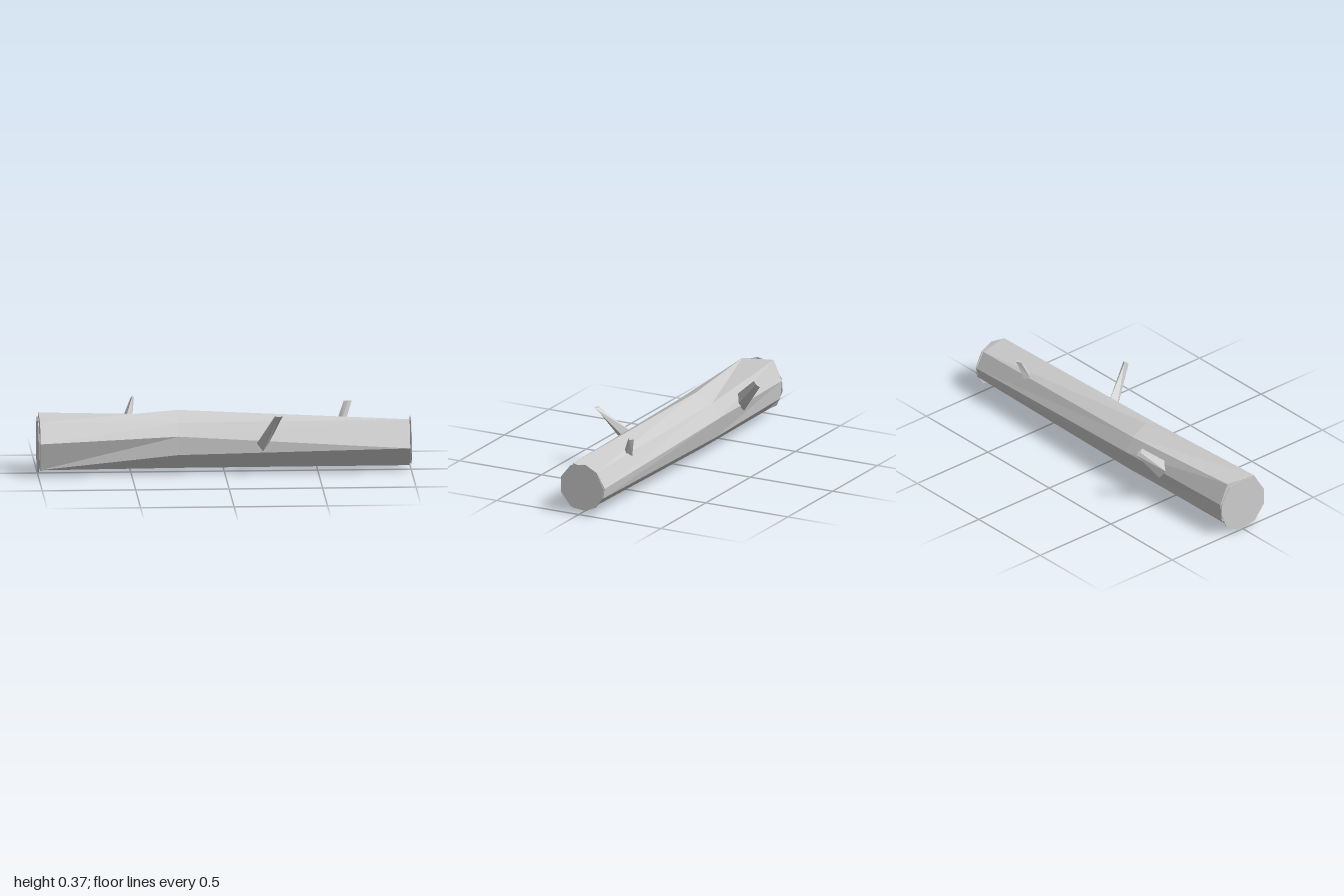
import * as THREE from 'three';

// Skin a row of rings (each a list of [x, y, z]) and close both ends
function loft(rings) {
  const pos = [];
  const tri = (a, b, c) => pos.push(...a, ...b, ...c);
  const n = rings[0].length;
  for (let k = 0; k + 1 < rings.length; k++) {
    const p = rings[k], q = rings[k + 1];
    for (let i = 0; i < n; i++) {
      const j = (i + 1) % n;
      tri(p[i], p[j], q[i]);
      tri(p[j], q[j], q[i]);
    }
  }
  const first = rings[0], last = rings[rings.length - 1];
  for (let i = 1; i + 1 < n; i++) {
    tri(first[0], first[i + 1], first[i]);
    tri(last[0], last[i], last[i + 1]);
  }
  const geo = new THREE.BufferGeometry();
  geo.setAttribute('position', new THREE.Float32BufferAttribute(pos, 3));
  geo.computeVertexNormals();
  return geo;
}

// Cross-section of the trunk at x, from [z, y] pairs
const section = (x, pts) => pts.map(([z, y]) => [x, y, z]);

// Small ring around a centre: half-width along x, half-depth along [y, z]
function ring(c, w, [vy, vz], sides) {
  return Array.from({ length: sides }, (_, i) => {
    const t = (i / sides) * Math.PI * 2 + Math.PI / 2;
    const u = Math.cos(t) * w, v = Math.sin(t);
    return [c[0] + u, c[1] + v * vy, c[2] + v * vz];
  });
}

export function createModel() {
  const group = new THREE.Group();
  const wood = new THREE.MeshStandardMaterial({ color: 0xcccccc });
  wood.name = 'paleGreyWood';
  wood.flatShading = true;
  wood.side = THREE.DoubleSide;

  const add = (name, geo) => {
    const mesh = new THREE.Mesh(geo, wood);
    mesh.name = name;
    group.add(mesh);
  };

  // Trunk: three uneven sections with a slight bend
  add('trunk', loft([
    section(-0.99, [[-0.1, 0.31], [0.09, 0.292], [0.09, 0.292], [0.153, 0.185], [0.107, 0.036],
      [0.08, 0.03], [-0.06, 0.022], [-0.14, 0.1], [-0.15, 0.2]]),
    section(-0.25, [[-0.13, 0.285], [-0.03, 0.33], [0.07, 0.278], [0.105, 0.21], [0.105, 0.11],
      [0.05, 0.03], [-0.06, 0.018], [-0.15, 0.095], [-0.177, 0.21]]),
    section(0.99, [[-0.105, 0.25], [0.04, 0.28], [0.04, 0.28], [0.112, 0.135], [0.112, 0.135],
      [0.04, 0.03], [-0.04, 0.023], [-0.145, 0.11], [-0.152, 0.165]]),
  ]));

  // Sawn ends: thin ten-sided discs
  const disc = (x, pts) => loft([section(x - 0.002, pts), section(x + 0.002, pts)]);
  add('leftCutEnd', disc(0.998, [[-0.11, 0.25], [-0.04, 0.286], [0.05, 0.27], [0.107, 0.2], [0.107, 0.11],
    [0.05, 0.04], [-0.04, 0.027], [-0.105, 0.055], [-0.142, 0.11], [-0.15, 0.165]]));
  add('rightCutEnd', disc(-0.998, [[-0.09, 0.29], [0, 0.308], [0.09, 0.28], [0.15, 0.19], [0.152, 0.1],
    [0.085, 0.02], [-0.022, 0], [-0.115, 0.055], [-0.15, 0.14], [-0.145, 0.21]]));

  // Broken twigs
  const twigs = [
    ['frontTwig', [0.2, 0.172, 0.122], 0.032, [0.038, -0.026], [0.277, 0.35, 0.285], 0.021, [0.002, -0.01]],
    ['backTwig', [-0.522, 0.215, -0.155], 0.034, [-0.045, -0.02], [-0.478, 0.35, -0.277], 0.009, [-0.015, -0.018]],
    ['topTwig', [0.632, 0.25, -0.1], 0.024, [-0.006, -0.025], [0.668, 0.35, -0.137], 0.021, [0, -0.017]],
  ];
  for (const [name, base, w0, v0, tip, w1, v1] of twigs) {
    add(name, loft([ring(base, w0, v0, 4), ring(tip, w1, v1, 4)]));
  }
  return group;
}
